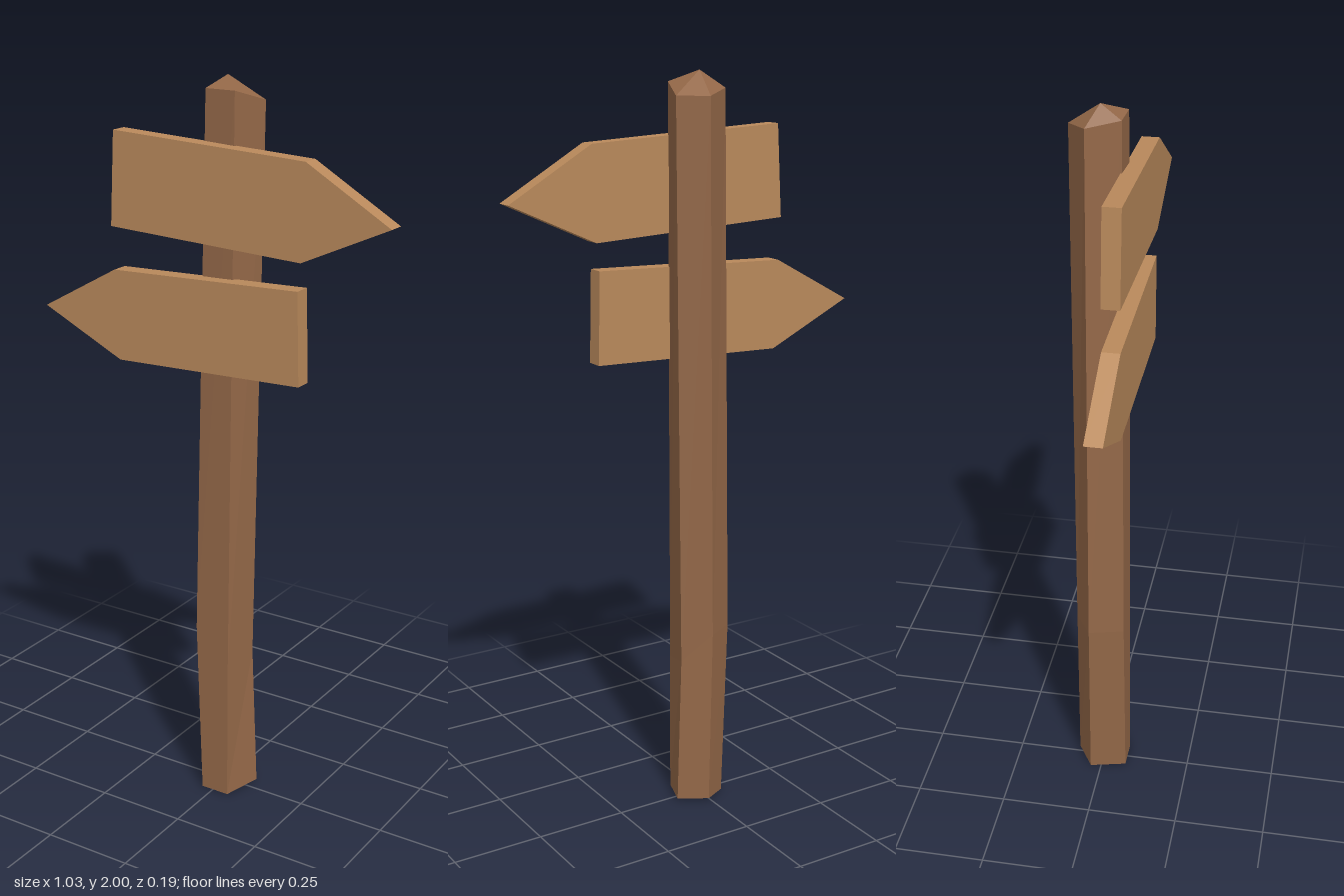
import * as THREE from 'three';

const postWood = new THREE.MeshStandardMaterial({ name: 'darkWood', color: 0x946848, flatShading: true });
const boardWood = new THREE.MeshStandardMaterial({ name: 'lightWood', color: 0xb9895b, flatShading: true });

// Five-sided crooked post: rings of [x, y, z], counter-clockwise from above
function createPost() {
  const rings = [
    [[-0.035, 0, 0.07], [0.048, 0, 0.07], [0.085, 0.01, -0.03], [0.01, 0.01, -0.075], [-0.06, 0, -0.03]],
    [[-0.055, 0.5, 0.065], [0.048, 0.4, 0.067], [0.07, 0.42, -0.028], [0.0, 0.5, -0.078], [-0.08, 0.5, -0.03]],
    [[-0.03, 1.97, 0.047], [0.057, 1.97, 0.05], [0.09, 1.94, -0.043], [0.02, 1.94, -0.093], [-0.06, 1.955, -0.038]],
  ];
  const n = 5;
  const points = [...rings.flat(), [0, 0, 0], [0, 2, -0.01]];
  const bottom = points.length - 2, tip = points.length - 1;
  const index = [];
  for (let i = 0; i < n; i++) {
    const j = (i + 1) % n;
    for (let r = 0; r < rings.length - 1; r++) {
      const a = r * n + i, b = r * n + j;
      index.push(a, b, b + n, a, b + n, a + n);
    }
    const top = (rings.length - 1) * n;
    index.push(bottom, j, i, tip, top + i, top + j);
  }
  const indexed = new THREE.BufferGeometry();
  indexed.setAttribute('position', new THREE.Float32BufferAttribute(points.flat(), 3));
  indexed.setIndex(index);
  const geometry = indexed.toNonIndexed();
  geometry.computeVertexNormals();
  const post = new THREE.Mesh(geometry, postWood);
  post.name = 'post';
  return post;
}

// Pointed board cut from an outline and fixed to the front of the post
function createBoard(name, outline) {
  const shape = new THREE.Shape(outline.map(([x, y]) => new THREE.Vector2(x, y)));
  const geometry = new THREE.ExtrudeGeometry(shape, { depth: 0.047, bevelEnabled: false });
  geometry.translate(0, 0, 0.045);
  const board = new THREE.Mesh(geometry, boardWood);
  board.name = name;
  return board;
}

export function createModel() {
  const signpost = new THREE.Group();
  signpost.name = 'signpost';
  signpost.add(
    createPost(),
    createBoard('upperBoard', [[-0.282, 1.853], [-0.295, 1.603], [0.272, 1.577], [0.516, 1.688], [0.282, 1.825]]),
    createBoard('lowerBoard', [[0.265, 1.505], [-0.288, 1.488], [-0.518, 1.36], [-0.275, 1.244], [0.272, 1.26]]),
  );
  return signpost;
}
